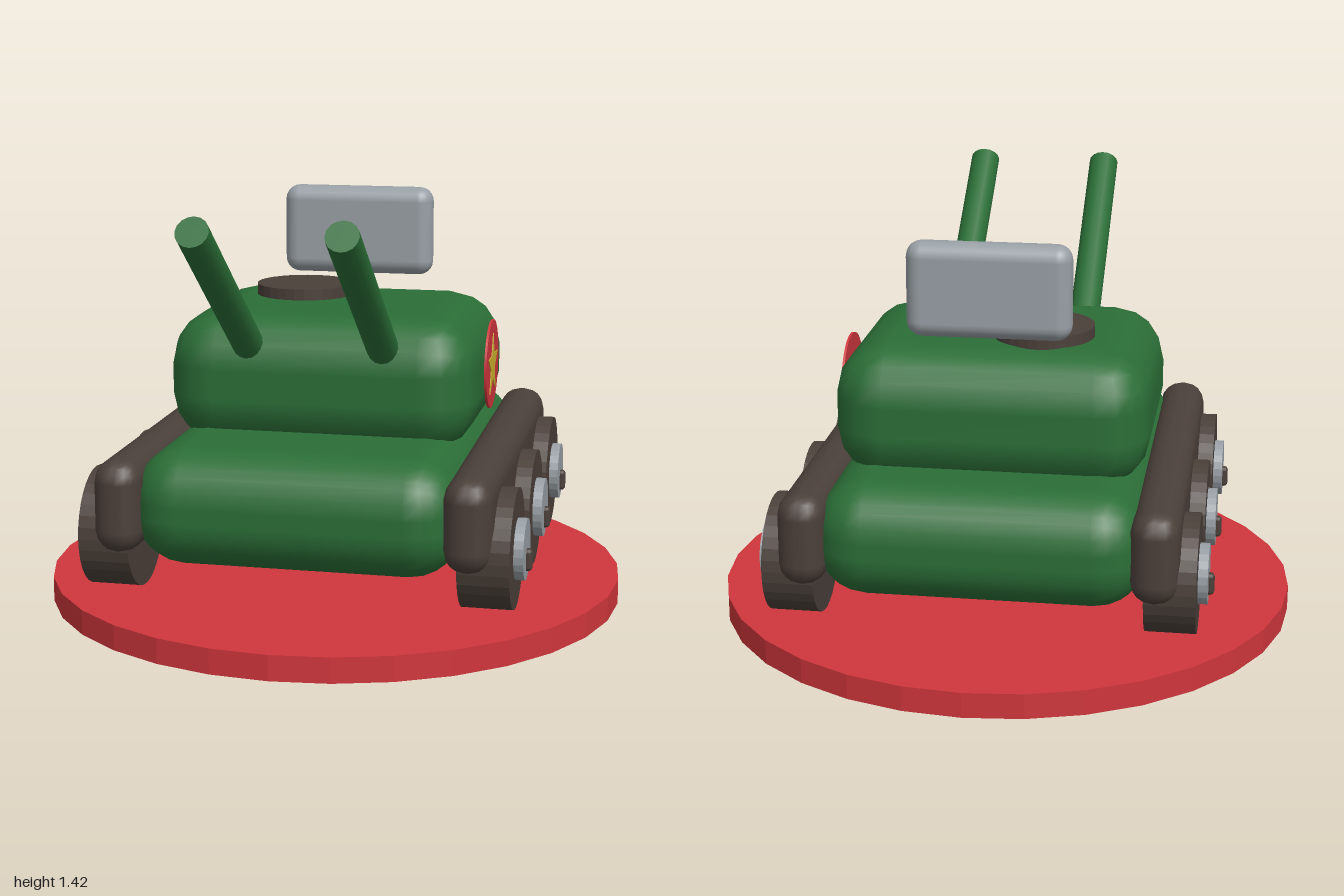
import * as THREE from 'three';
import { RoundedBoxGeometry } from 'three/addons/geometries/RoundedBoxGeometry.js';

const paint = (name, color) => {
  const m = new THREE.MeshStandardMaterial({ color });
  m.name = name;
  return m;
};

// Faceted cylinder: every side keeps its own normal
function facetedCylinder(radius, height, sides) {
  const g = new THREE.CylinderGeometry(radius, radius, height, sides).toNonIndexed();
  g.computeVertexNormals();
  return g;
}

function starShape(outer, inner) {
  const points = [];
  for (let i = 0; i < 10; i++) {
    const r = i % 2 ? inner : outer;
    const a = Math.PI / 2 + (i * Math.PI) / 5;
    points.push(new THREE.Vector2(r * Math.cos(a), r * Math.sin(a)));
  }
  return new THREE.Shape(points);
}

export function createModel() {
  const green = paint('green armour', 0x2b6e37);
  const red = paint('red', 0xcf363c);
  const brown = paint('dark brown', 0x4b403a);
  const grey = paint('light grey', 0x989fa5);
  const yellow = paint('star yellow', 0xcbb02c);

  const model = new THREE.Group();
  model.name = 'toyTank';

  function add(name, geometry, material, x, y, z, parent = model) {
    const mesh = new THREE.Mesh(geometry, material);
    mesh.name = name;
    mesh.position.set(x, y, z);
    parent.add(mesh);
    return mesh;
  }

  // Display stand
  add('stand', facetedCylinder(0.993, 0.085, 32), red, 0, 0.0425, -0.005);

  // Hull and turret
  add('hull', new RoundedBoxGeometry(1.08, 0.39, 1.51, 3, 0.17), green, 0, 0.435, -0.008);
  add('turret', new RoundedBoxGeometry(1.05, 0.46, 0.88, 2, 0.18), green, 0, 0.787, -0.075);

  // Hatch and the upright plate above the turret
  add('hatch', facetedCylinder(0.17, 0.07, 32), brown, -0.15, 1.02, -0.185);
  add('rearPlate', new RoundedBoxGeometry(0.54, 0.315, 0.11, 3, 0.052), grey, 0, 1.22, -0.405);

  // Twin raised barrels
  const root = new THREE.Vector3(0, 0.87, 0.25);
  const tip = new THREE.Vector3(0, 1.38, 0.968);
  const axis = tip.clone().sub(root);
  const middle = root.clone().add(tip).multiplyScalar(0.5);
  for (const side of [-1, 1]) {
    const barrel = add(side > 0 ? 'leftBarrel' : 'rightBarrel',
      new THREE.CylinderGeometry(0.053, 0.053, axis.length(), 16), green,
      side * 0.228, middle.y, middle.z);
    barrel.quaternion.setFromUnitVectors(new THREE.Vector3(0, 1, 0), axis.clone().normalize());
  }

  // Running gear on both sides
  for (const side of [-1, 1]) {
    const gear = new THREE.Group();
    gear.name = side > 0 ? 'leftRunningGear' : 'rightRunningGear';
    model.add(gear);
    add('track', new RoundedBoxGeometry(0.16, 0.31, 1.51, 2, 0.075), brown, side * 0.57, 0.445, -0.003, gear);
    for (const z of [0.512, -0.003, -0.518]) {
      const wheel = add('wheel', facetedCylinder(0.197, 0.167, 32), brown, side * 0.62, 0.33, z, gear);
      const hub = add('hub', facetedCylinder(0.1, 0.08, 24), grey, side * 0.695, 0.33, z, gear);
      wheel.rotation.z = hub.rotation.z = Math.PI / 2;
      add('hubPin', new RoundedBoxGeometry(0.04, 0.075, 0.034, 2, 0.014), brown, side * 0.734, 0.296, z, gear);
    }
  }

  // Star badge on the left side of the turret
  const badge = add('badgeDisc', new THREE.CylinderGeometry(0.153, 0.153, 0.008, 32), red, 0.531, 0.81, -0.08);
  badge.rotation.z = Math.PI / 2;
  const star = add('badgeStar',
    new THREE.ExtrudeGeometry(starShape(0.113, 0.046), { depth: 0.004, bevelEnabled: false }),
    yellow, 0.534, 0.805, -0.08);
  star.rotation.y = Math.PI / 2;

  return model;
}
